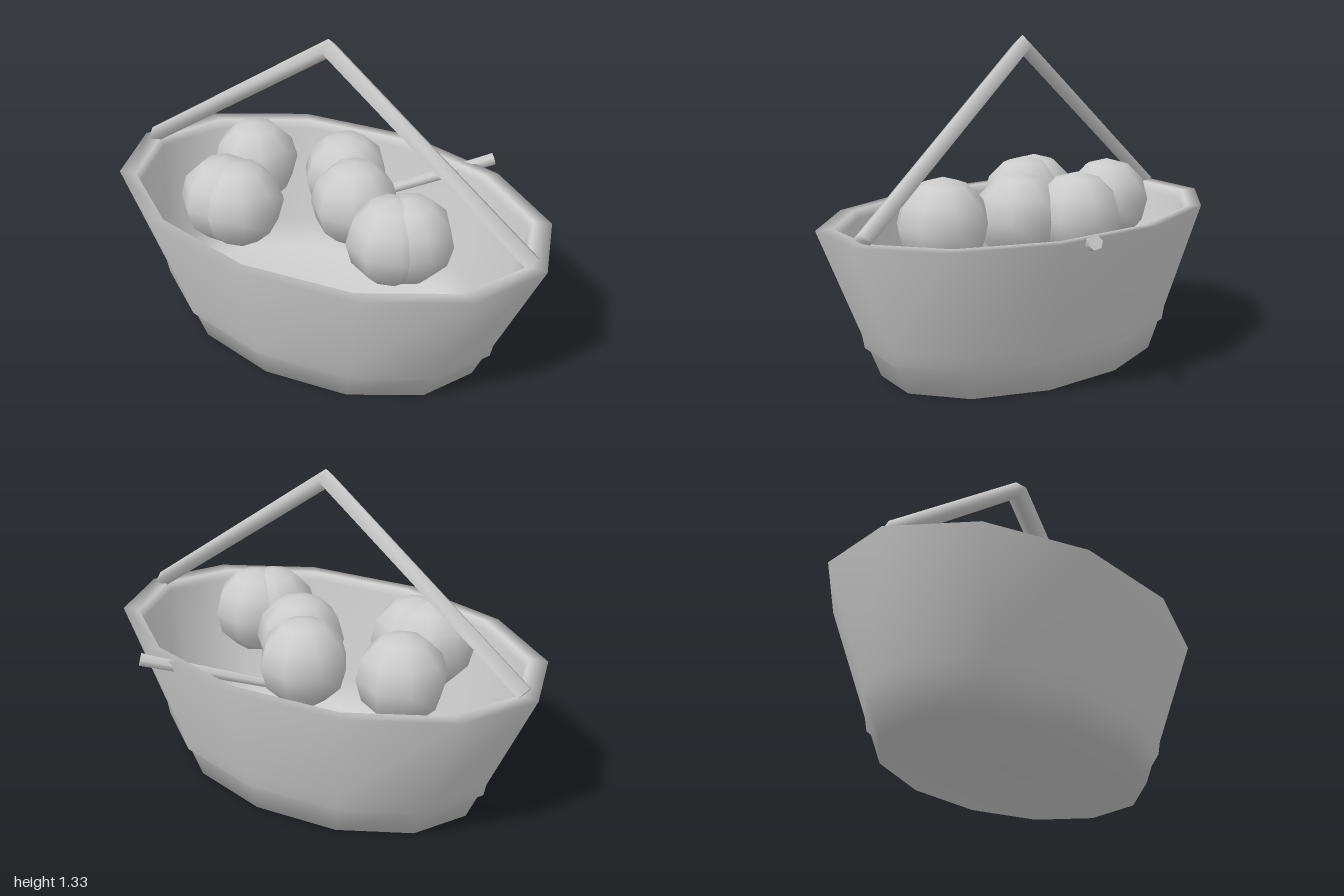
import * as THREE from 'three';

// Smooth closed skin over a list of rings (arrays of [x, y, z]), capped at both ends
function loft(rings) {
  const n = rings[0].length, pos = rings.flat(2), index = [];
  for (let i = 0; i < rings.length - 1; i++) {
    for (let j = 0; j < n; j++) {
      const k = (j + 1) % n, p = i * n + j, q = i * n + k;
      index.push(p, p + n, q, q, p + n, q + n);
    }
  }
  [0, rings.length - 1].forEach((r, end) => {
    const c = pos.length / 3;
    for (let a = 0; a < 3; a++) pos.push(rings[r].reduce((s, v) => s + v[a], 0) / n);
    for (let j = 0; j < n; j++) {
      const p = r * n + j, q = r * n + (j + 1) % n;
      if (end) index.push(c, q, p); else index.push(c, p, q);
    }
  });
  const geo = new THREE.BufferGeometry();
  geo.setAttribute('position', new THREE.Float32BufferAttribute(pos, 3));
  geo.setIndex(index);
  geo.computeVertexNormals();
  return geo;
}

export function createModel() {
  const group = new THREE.Group();
  const grey = new THREE.MeshStandardMaterial({ color: 0xcccccc });
  grey.name = 'lightGrey';
  const add = (name, geo) => {
    const mesh = new THREE.Mesh(geo, grey);
    mesh.name = name;
    group.add(mesh);
    return mesh;
  };
  const Z = 0.013;

  // Basket: twelve-sided oval, stepped outside near the base, hollow inside
  const profile = [
    [0.715, 0], [0.772, 0.125], [0.79, 0.125], [0.802, 0.18], [1, 0.615],
    [0.92, 0.615], [0.9, 0.58], [0.785, 0.14], [0.705, 0.02],
  ];
  add('basket', loft(profile.map(([r, y]) => Array.from({ length: 12 }, (_, j) => {
    const a = j * Math.PI / 6;
    return [r * Math.cos(a), y, Z + r * 0.652 * Math.sin(a)];
  }))));

  // Handle: peaked bar of diamond section
  const stations = [
    [-0.94, 0.63, -0.019, 0.027], [0, 1.29, 0, 0.041], [0.94, 0.63, 0.019, 0.027],
  ];
  add('handle', loft(stations.map(([x, y, dx, dy]) => [
    [x + dx, y + dy, Z], [x, y, Z - 0.05], [x - dx, y - dy, Z], [x, y, Z + 0.05],
  ])));

  // Round fruit resting in the basket
  const fruit = [
    [-0.46, -0.1], [-0.065, -0.22], [0.095, -0.04], [0.375, 0.125],
    [0.43, 0.075], [-0.375, 0.235], [-0.3, 0.23],
  ];
  const ball = new THREE.SphereGeometry(0.185, 8, 6);
  fruit.forEach(([x, z], i) => {
    const mesh = add('fruit' + (i + 1), ball);
    mesh.position.set(x, 0.597, z);
    mesh.rotation.y = i * 0.25;
  });

  // Stick leaning out over the back rim
  const from = new THREE.Vector3(0.04, 0.49, -0.29), to = new THREE.Vector3(0.43, 0.622, -0.645);
  const dir = to.clone().sub(from);
  const stick = add('stick', new THREE.CylinderGeometry(0.028, 0.02, dir.length(), 6));
  stick.position.copy(from).addScaledVector(dir, 0.5);
  stick.quaternion.setFromUnitVectors(new THREE.Vector3(0, 1, 0), dir.normalize());

  return group;
}
